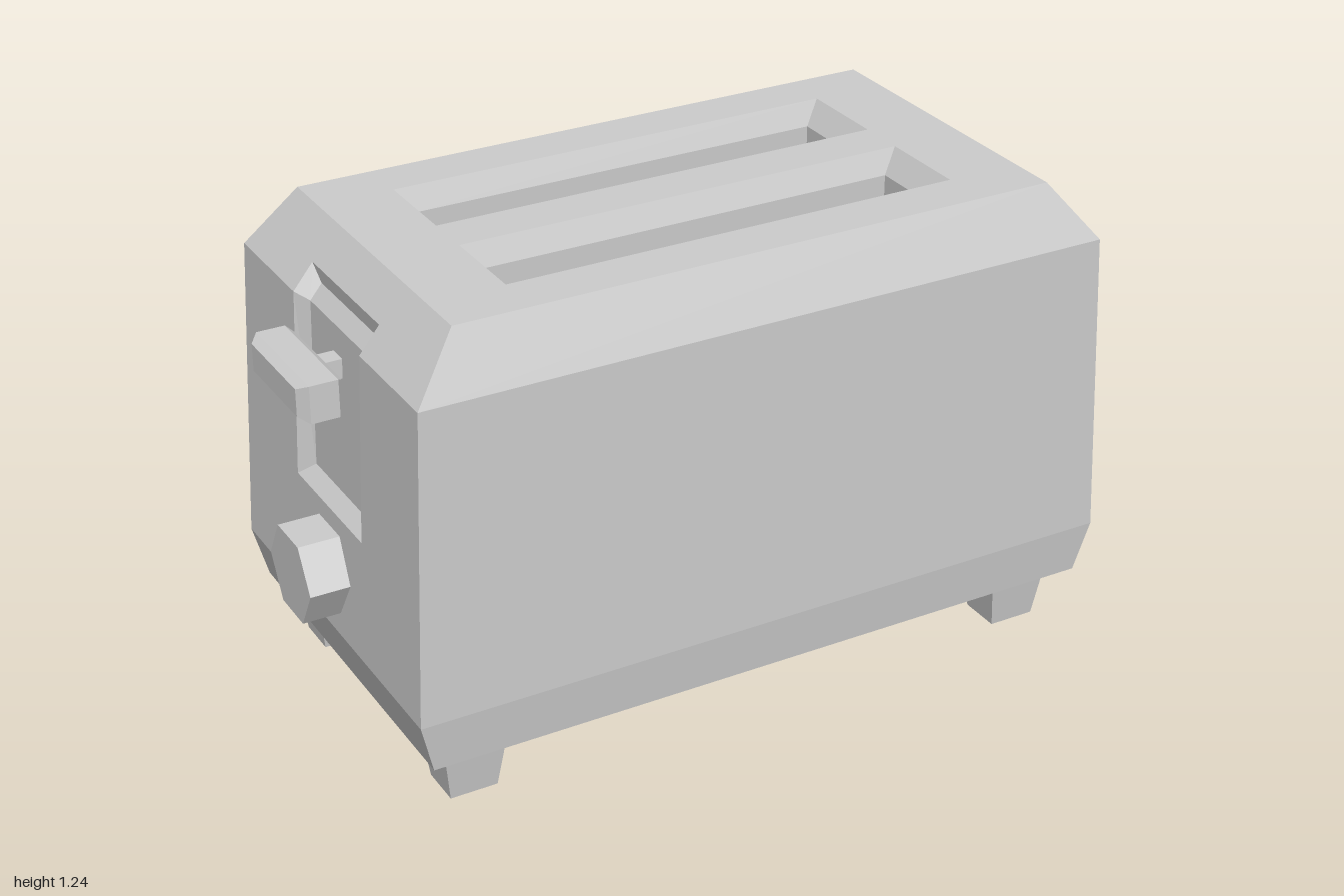
import * as THREE from 'three';

const material = new THREE.MeshStandardMaterial({ color: 0xcccccc, flatShading: true });

// Collects flat quads into one geometry
class Faces {
  positions = [];
  quad(a, b, c, d) {
    this.positions.push(...a, ...b, ...c, ...a, ...c, ...d);
  }
  // Joins two loops of points, optionally leaving out one side
  band(a, b, skip = -1) {
    a.forEach((p, i) => {
      const j = (i + 1) % a.length;
      if (i !== skip) this.quad(p, a[j], b[j], b[i]);
    });
  }
  mesh(name) {
    const geometry = new THREE.BufferGeometry();
    geometry.setAttribute('position', new THREE.Float32BufferAttribute(this.positions, 3));
    geometry.computeVertexNormals();
    const mesh = new THREE.Mesh(geometry, material);
    mesh.name = name;
    return mesh;
  }
}

// Horizontal rectangle, counter-clockwise from above, starting at -x +z
const rect = (cx, cz, hx, hz, y) => [
  [cx - hx, y, cz + hz], [cx + hx, y, cz + hz], [cx + hx, y, cz - hz], [cx - hx, y, cz - hz],
];

// Six-point outline on the -x side, bent where the wall meets the top bevel
const sideLoop = ([low, bend, top]) => [
  [low[0], low[1], -low[2]], low, bend, top,
  [top[0], top[1], -top[2]], [bend[0], bend[1], -bend[2]],
];

function createBody() {
  const group = new THREE.Group();
  group.name = 'body';
  const cx = 0.05;
  const levels = [
    [0.915, 0.5, 0.15], [0.95, 0.515, 0.285], [0.915, 0.5, 1.09], [0.795, 0.43, 1.24],
  ].map(([hx, hz, y]) => rect(cx, 0, hx, hz, y));

  // Walls, with the -x side left open for the lever recess
  const shell = new Faces();
  for (let i = 0; i < 3; i++) shell.band(levels[i], levels[i + 1], i > 0 ? 3 : -1);
  shell.quad(...[...levels[0]].reverse());
  const outer = sideLoop([levels[1][0], levels[2][0], levels[3][0]]);
  const rim = sideLoop([[-0.886, 0.607, 0.19], [-0.865, 1.09, 0.19], [-0.813, 1.155, 0.19]]);
  shell.band(outer, rim);
  group.add(shell.mesh('shell'));

  // Lever recess
  const recess = new Faces();
  const floor = sideLoop([[-0.85, 0.64, 0.155], [-0.838, 1.075, 0.155], [-0.807, 1.113, 0.155]]);
  recess.band(rim, floor);
  recess.quad(floor[0], floor[1], floor[2], floor[5]);
  recess.quad(floor[5], floor[2], floor[3], floor[4]);
  group.add(recess.mesh('leverRecess'));

  // Top plate with two bread slots
  const toPath = (loop, Type) => new Type(loop.map(([x, , z]) => new THREE.Vector2(x, -z)));
  const plate = toPath(levels[3], THREE.Shape);
  const slots = new Faces();
  for (const z of [-0.182, 0.182]) {
    const mouth = rect(cx, z, 0.6, 0.12, 1.24);
    const throat = rect(cx, z, 0.557, 0.095, 1.18);
    const base = rect(cx, z, 0.557, 0.095, 0.6);
    plate.holes.push(toPath(mouth, THREE.Path));
    slots.band(mouth, throat);
    slots.band(throat, base);
    slots.quad(...base);
  }
  const top = new THREE.Mesh(
    new THREE.ShapeGeometry(plate).rotateX(-Math.PI / 2).translate(0, 1.24, 0), material);
  top.name = 'topPlate';
  group.add(top, slots.mesh('breadSlots'));
  return group;
}

// Lever: stem and chamfered handle, as sections running out along -x
function createLever() {
  const faces = new Faces();
  const sections = [
    [-0.838, 0.025, 0.025], [-0.888, 0.025, 0.025], [-0.888, 0.035, 0.135],
    [-0.905, 0.048, 0.157], [-0.977, 0.048, 0.157], [-1, 0.035, 0.13],
  ].map(([x, hy, hz]) => [
    [x, 0.977 - hy, -hz], [x, 0.977 - hy, hz], [x, 0.977 + hy, hz], [x, 0.977 + hy, -hz],
  ]);
  for (let i = 0; i < sections.length - 1; i++) faces.band(sections[i], sections[i + 1]);
  faces.quad(...sections.at(-1));
  return faces.mesh('lever');
}

export function createModel() {
  const model = new THREE.Group();
  model.name = 'toaster';
  model.add(createBody(), createLever());

  // Hexagonal browning knob
  const knob = new THREE.Mesh(
    new THREE.CylinderGeometry(0.122, 0.122, 0.12, 6).rotateZ(Math.PI / 2), material);
  knob.name = 'browningKnob';
  knob.position.set(-0.935, 0.453, 0);
  model.add(knob);

  // Tapered feet
  for (const x of [-0.733, 0.832]) {
    for (const z of [-0.375, 0.375]) {
      const faces = new Faces();
      const bottom = rect(x, z, 0.062, 0.055, 0);
      faces.band(bottom, rect(x, z, 0.083, 0.075, 0.152));
      faces.quad(...[...bottom].reverse());
      model.add(faces.mesh('foot'));
    }
  }
  return model;
}
